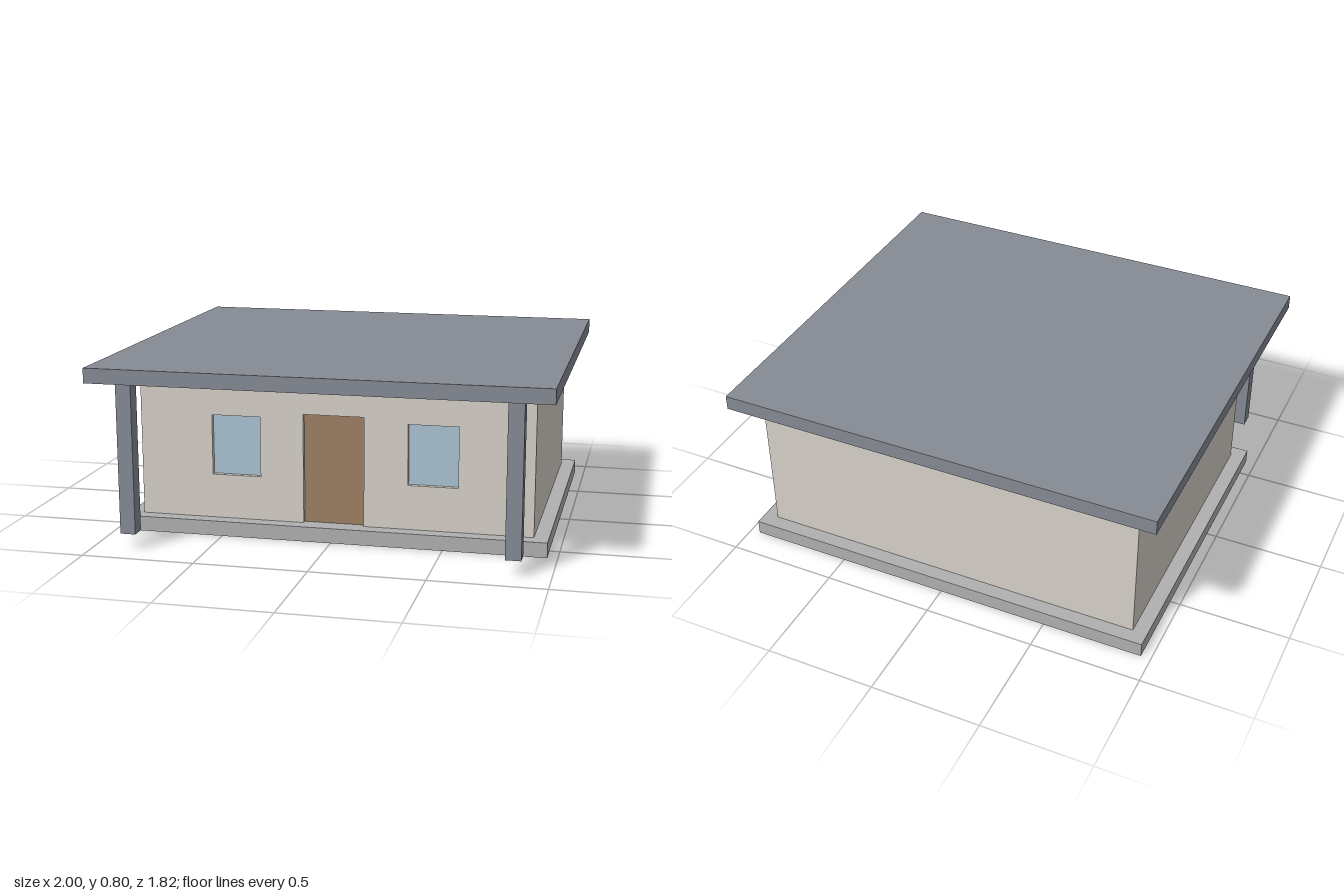
import * as THREE from 'three';

const paint = (color) => new THREE.MeshStandardMaterial({ color });

// Rectangle path from two opposite corners
function rect(PathType, x0, y0, x1, y1) {
  const p = new PathType();
  p.moveTo(x0, y0);
  p.lineTo(x1, y0);
  p.lineTo(x1, y1);
  p.lineTo(x0, y1);
  p.closePath();
  return p;
}

export function createModel() {
  const house = new THREE.Group();
  house.name = 'house';

  const wallPaint = paint(0xd6d0c8);
  const slate = paint(0x858a94);
  const concrete = paint(0xb0b0b0);
  const wood = paint(0x9c7f63);
  const glass = paint(0xabc2d2);

  const add = (name, geometry, material) => {
    const mesh = new THREE.Mesh(geometry, material);
    mesh.name = name;
    house.add(mesh);
    return mesh;
  };
  // Box given by its limits on each axis
  const box = (name, material, [x0, x1], [y0, y1], [z0, z1]) =>
    add(name, new THREE.BoxGeometry(x1 - x0, y1 - y0, z1 - z0), material)
      .position.set((x0 + x1) / 2, (y0 + y1) / 2, (z0 + z1) / 2);

  const floor = 0.067, eaves = 0.737, top = 0.803;
  const wallX = 0.89, front = 0.535, back = -0.8, thick = 0.067;
  const recess = 0.022, paneDepth = 0.02;
  const doorX = 0.137, doorTop = 0.562;
  const win = { x0: 0.334, x1: 0.557, y0: 0.267, y1: 0.54 };

  // Foundation and flat roof
  box('foundation', concrete, [-0.955, 0.955], [0, floor], [-0.866, 0.6]);
  box('roof', slate, [-1, 1], [eaves, top], [-0.912, 0.912]);

  // Front wall with a door notch and two window openings
  const face = new THREE.Shape([
    [-wallX, floor], [-doorX, floor], [-doorX, doorTop], [doorX, doorTop],
    [doorX, floor], [wallX, floor], [wallX, eaves], [-wallX, eaves],
  ].map(([x, y]) => new THREE.Vector2(x, y)));
  for (const s of [-1, 1]) {
    face.holes.push(rect(THREE.Path, s * win.x0, win.y0, s * win.x1, win.y1));
  }
  add('frontWall', new THREE.ExtrudeGeometry(face, { depth: thick, bevelEnabled: false }), wallPaint)
    .position.z = front - thick;

  // Back and side walls
  box('backWall', wallPaint, [-wallX, wallX], [floor, eaves], [back, back + thick]);
  for (const [s, side] of [[1, 'left'], [-1, 'right']]) {
    const xs = [s * wallX, s * (wallX - thick)].sort((a, b) => a - b);
    box(side + 'Wall', wallPaint, xs, [floor, eaves], [back + thick, front - thick]);
  }

  // Door and window panes, set back in their openings
  const paneZ = [front - recess - paneDepth, front - recess];
  box('door', wood, [-doorX, doorX], [floor, doorTop], paneZ);
  for (const [s, side] of [[1, 'left'], [-1, 'right']]) {
    const xs = [s * win.x0, s * win.x1].sort((a, b) => a - b);
    box(side + 'Window', glass, xs, [win.y0, win.y1], paneZ);

    // Porch posts hanging under the front roof corners
    const px = s * 0.84;
    box(side + 'Post', slate, [px - 0.034, px + 0.034], [floor, eaves], [0.802, 0.87]);
  }

  return house;
}
